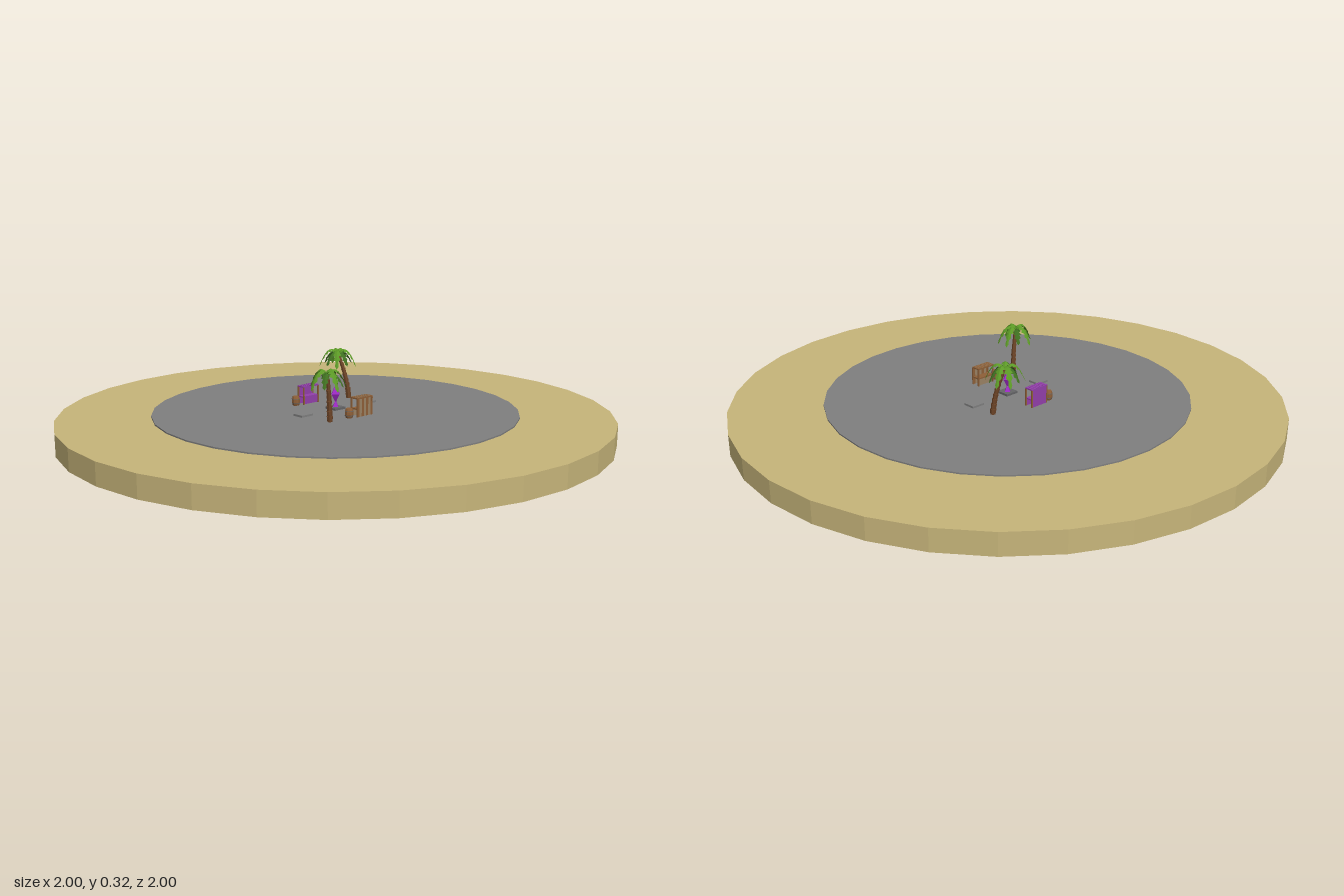
import * as THREE from 'three';

const mat = (name, color, extra = {}) => {
  const m = new THREE.MeshStandardMaterial({ color, ...extra });
  m.name = name;
  return m;
};

export function createModel() {
  const M = {
    sand: mat('sand', 0xc8b67b, { flatShading: true }),
    stone: mat('stone', 0x808080, { flatShading: true }),
    darkStone: mat('dark stone', 0x666668, { flatShading: true }),
    purple: mat('purple cloth', 0x9440ac, { flatShading: true }),
    crystal: mat('crystal purple', 0xa02cc8, { flatShading: true }),
    wood: mat('wood', 0x8f6038, { flatShading: true }),
    paleWood: mat('pale wood', 0x9c8466, { flatShading: true }),
    bark: mat('bark', 0x74492a, { flatShading: true }),
    leaf: mat('leaf green', 0x5c9a26, { flatShading: true, side: THREE.DoubleSide }),
    darkLeaf: mat('dark leaf green', 0x3f7020, { flatShading: true, side: THREE.DoubleSide }),
  };
  const model = new THREE.Group();
  const GROUND = 0.136;

  const add = (parent, name, geo, material, x = 0, y = 0, z = 0) => {
    const mesh = new THREE.Mesh(geo, material);
    mesh.name = name;
    mesh.position.set(x, y, z);
    parent.add(mesh);
    return mesh;
  };
  const box = (parent, name, w, h, d, material, x, y, z) =>
    add(parent, name, new THREE.BoxGeometry(w, h, d), material, x, y, z);
  const group = (name, x, y, z) => {
    const g = new THREE.Group();
    g.name = name;
    g.position.set(x, y, z);
    model.add(g);
    return g;
  };

  // Island: a stone core through a wide sand ring
  add(model, 'sandDisc', new THREE.CylinderGeometry(1, 1, 0.079, 32), M.sand, 0, 0.0915, 0);
  add(model, 'stoneDisc', new THREE.CylinderGeometry(0.665, 0.665, GROUND, 32), M.stone, 0, GROUND / 2, 0);

  // Flat stone slabs either side of the centre
  for (const x of [-0.16, 0.163]) box(model, 'stoneSlab', 0.052, 0.007, 0.046, M.stone, x, GROUND + 0.0035, 0);

  // Crystal above its pedestal
  const shrine = group('crystalShrine', 0, GROUND, 0);
  box(shrine, 'pedestal', 0.052, 0.008, 0.05, M.darkStone, 0, 0.004, 0);
  add(shrine, 'crystalFoot', new THREE.ConeGeometry(0.014, 0.025, 4), M.crystal, 0, 0.02, 0);
  const gem = add(shrine, 'crystal', new THREE.OctahedronGeometry(0.02), M.crystal, 0, 0.056, 0);
  gem.scale.y = 1.7;

  // Market stall, its planked or cloth wall on the outer (+z) side
  const stall = (name, z, turn, panel, altPanel) => {
    const g = group(name, -0.003, GROUND, z);
    g.rotation.y = turn;
    const W = 0.076, H = 0.068, D = 0.034, n = 7;
    for (let i = 0; i < n; i++) {
      const x = (i - (n - 1) / 2) * (W / n);
      const m = i % 2 ? altPanel : panel;
      box(g, 'wallPlank', W / n, H - 0.004, 0.004, m, x, (H - 0.004) / 2, D / 2 - 0.002);
      box(g, 'roofPlank', W / n, 0.005, D, panel, x, H - 0.0015, 0);
      if (i) box(g, 'roofSeam', 0.0012, 0.001, D, altPanel, x - W / n / 2, H + 0.0015, 0);
    }
    for (const sx of [-1, 1]) for (const sz of [-1, 1])
      box(g, 'post', 0.005, H - 0.003, 0.005, M.wood, sx * (W / 2 - 0.002), (H - 0.003) / 2, sz * (D / 2 - 0.002));
    box(g, 'counter', W - 0.004, 0.005, D - 0.004, panel, 0, 0.028, 0);
    box(g, 'counterFront', W - 0.008, 0.025, 0.003, altPanel, 0, 0.0135, -D / 2 + 0.004);
  };
  stall('woodenStall', 0.137, 0, M.wood, M.paleWood);
  stall('purpleStall', -0.145, Math.PI, M.purple, M.purple);

  // Barrels beside the stalls
  const barrelProfile = [[0, 0], [0.012, 0], [0.0155, 0.011], [0.0155, 0.023], [0.012, 0.034], [0, 0.034]]
    .map(([r, y]) => new THREE.Vector2(r, y));
  for (const z of [0.137, -0.145]) {
    const g = group('barrel', -0.065, GROUND, z);
    add(g, 'barrelBody', new THREE.LatheGeometry(barrelProfile, 10), M.wood);
    for (const y of [0.009, 0.025])
      add(g, 'barrelHoop', new THREE.CylinderGeometry(0.0158, 0.0158, 0.002, 10), M.darkStone, 0, y, 0);
  }

  // Drooping folded frond with serrated edges, growing along +x
  const frondGeometry = (length, lift) => {
    const n = 12, pos = [], idx = [];
    for (let i = 0; i <= n; i++) {
      const t = i / n;
      const x = length * t, y = length * (lift * t - (lift + 0.7) * t * t);
      const w = (0.003 + 0.013 * Math.sin(Math.PI * Math.min(1, t * 0.85 + 0.12))) * (i === n ? 0 : i % 2 ? 1 : 0.5);
      pos.push(x, y - w * 0.55, -w, x, y, 0, x, y - w * 0.55, w);
      if (i < n) for (const k of [0, 1]) {
        const a = i * 3 + k;
        idx.push(a, a + 1, a + 3, a + 1, a + 4, a + 3);
      }
    }
    const geo = new THREE.BufferGeometry();
    geo.setAttribute('position', new THREE.Float32BufferAttribute(pos, 3));
    geo.setIndex(idx);
    geo.computeVertexNormals();
    return geo;
  };

  // Palm: ringed leaning trunk and a crown of fronds
  const palm = (base, top, spin) => {
    const g = group('palmTree', 0, 0, 0);
    const a = new THREE.Vector3(...base), b = new THREE.Vector3(...top);
    const bend = new THREE.Vector3(a.x * 0.85 + b.x * 0.15, (a.y + b.y) / 2, a.z * 0.85 + b.z * 0.15);
    const path = new THREE.QuadraticBezierCurve3(a, bend, b);
    const n = 9, up = new THREE.Vector3(0, 1, 0);
    for (let i = 0; i < n; i++) {
      const p = path.getPoint(i / n), q = path.getPoint((i + 1) / n);
      const r = 0.0115 - 0.005 * (i / n);
      const seg = add(g, 'trunkSegment', new THREE.CylinderGeometry(r, r * 0.8, p.distanceTo(q) * 1.1, 7), M.bark);
      seg.position.copy(p).lerp(q, 0.5);
      seg.quaternion.setFromUnitVectors(up, q.clone().sub(p).normalize());
    }
    const count = 9;
    for (let i = 0; i < count; i++) {
      const odd = i % 2;
      const f = add(g, 'frond', frondGeometry(odd ? 0.06 : 0.072, odd ? 1.0 : 1.45), odd ? M.darkLeaf : M.leaf, ...top);
      f.rotation.y = spin + (i / count) * Math.PI * 2;
    }
  };
  palm([-0.156, GROUND, 0.134], [-0.174, 0.305, 0.14], 0.3);
  palm([0.17, GROUND, -0.105], [0.144, 0.307, -0.138], 1.1);

  return model;
}
